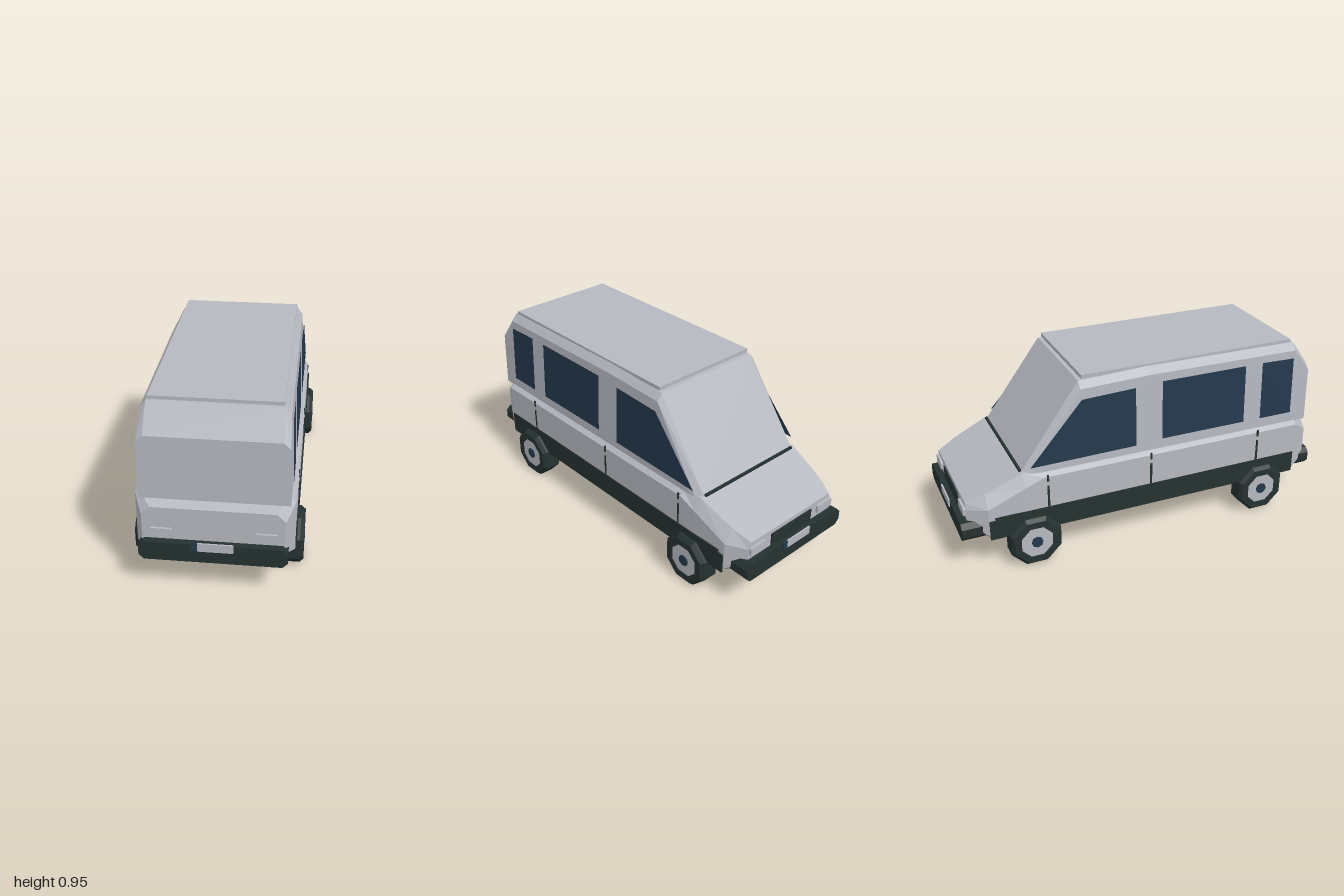
import * as THREE from 'three';
import { ConvexGeometry } from 'three/addons/geometries/ConvexGeometry.js';

const paint = (name, color) =>
  new THREE.MeshStandardMaterial({ name, color, flatShading: true, side: THREE.DoubleSide });

export function createModel() {
  const van = new THREE.Group();
  van.name = 'van';
  const grey = paint('bodyGrey', 0xb6b8c0);
  const dark = paint('darkTrim', 0x243130);
  const blue = paint('blueGlass', 0x24384c);

  const add = (name, geometry, material, parent = van) => {
    const mesh = new THREE.Mesh(geometry, material);
    mesh.name = name;
    parent.add(mesh);
    return mesh;
  };
  // box given by its two opposite corners
  const box = (name, material, [x0, y0, z0], [x1, y1, z1]) =>
    add(name, new THREE.BoxGeometry(x1 - x0, y1 - y0, z1 - z0), material)
      .position.set((x0 + x1) / 2, (y0 + y1) / 2, (z0 + z1) / 2);
  // flat four-cornered panel
  const panel = (name, material, corners) => {
    const g = new THREE.BufferGeometry();
    g.setAttribute('position', new THREE.Float32BufferAttribute(corners.flat(), 3));
    g.setIndex([0, 1, 2, 0, 2, 3]);
    g.computeVertexNormals();
    add(name, g, material);
  };

  // Lower body: chamfered cross-sections from tail to nose
  // z, top half width, top y, side half width, shoulder y, bottom y
  const sections = [
    [0.957, 0.29, 0.445, 0.33, 0.405, 0.22],
    [0.87, 0.35, 0.483, 0.372, 0.465, 0.18],
    [-0.57, 0.35, 0.487, 0.372, 0.468, 0.18],
    [-0.67, 0.335, 0.495, 0.372, 0.43, 0.18],
    [-0.86, 0.315, 0.412, 0.363, 0.345, 0.18],
    [-0.955, 0.285, 0.37, 0.3, 0.335, 0.23],
  ];
  const positions = [];
  const index = [];
  for (const [z, tx, ty, sx, sy, by] of sections) {
    const half = [[tx, ty], [sx, sy], [sx, by + 0.02], [sx - 0.025, by]];
    const loop = [...half, ...half.map(([x, y]) => [-x, y]).reverse()];
    for (const [x, y] of loop) positions.push(x, y, z);
  }
  const last = (sections.length - 1) * 8;
  for (let s = 0; s < last; s += 8) {
    for (let i = 0; i < 8; i++) {
      const a = s + i, b = s + (i + 1) % 8;
      index.push(a, b, b + 8, a, b + 8, a + 8);
    }
  }
  for (let i = 1; i < 7; i++) {
    index.push(0, i + 1, i, last, last + i, last + i + 1);
  }
  const lower = new THREE.BufferGeometry();
  lower.setAttribute('position', new THREE.Float32BufferAttribute(positions, 3));
  lower.setIndex(index);
  lower.computeVertexNormals();
  add('lowerBody', lower, grey);

  // Cabin: faceted hull, mirrored points
  const cabin = [
    [0.348, 0.48, 0.935], [0.341, 0.77, 0.935], [0.31, 0.8, 0.935],
    [0.335, 0.89, 0.845], [0.305, 0.928, 0.845],
    [0.335, 0.897, 0], [0.305, 0.934, 0],
    [0.332, 0.885, -0.362], [0.305, 0.92, -0.362],
    [0.315, 0.497, -0.67], [0.343, 0.49, -0.635], [0.348, 0.48, -0.6],
  ].flatMap(([x, y, z]) => [new THREE.Vector3(x, y, z), new THREE.Vector3(-x, y, z)]);
  add('cabin', new ConvexGeometry(cabin), grey);
  box('roofPanel', grey, [-0.303, 0.925, -0.345], [0.303, 0.945, 0.83]);

  // Windscreen, tailgate window and the seal below the windscreen
  panel('windscreen', grey, [
    [-0.27, 0.887, -0.39], [0.27, 0.887, -0.39], [0.285, 0.513, -0.664], [-0.285, 0.513, -0.664]]);
  panel('rearWindow', grey, [
    [-0.26, 0.82, 0.926], [0.26, 0.82, 0.926], [0.25, 0.923, 0.854], [-0.25, 0.923, 0.854]]);
  box('windscreenSeal', dark, [-0.31, 0.493, -0.682], [0.31, 0.505, -0.67]);

  // Side windows as [z, y] corners, leaning in with the wall
  const windows = {
    rearSideWindow: [[0.835, 0.54], [0.645, 0.54], [0.645, 0.855], [0.835, 0.85]],
    middleSideWindow: [[0.545, 0.54], [0.07, 0.54], [0.07, 0.855], [0.545, 0.855]],
    frontSideWindow: [[-0.075, 0.53], [-0.636, 0.525], [-0.358, 0.835], [-0.075, 0.845]],
  };
  for (const side of [1, -1]) {
    for (const [name, corners] of Object.entries(windows)) {
      panel(name, blue, corners.map(([z, y]) => [side * (0.355 - 0.037 * (y - 0.52)), y, z]));
    }
    // Sill strip, stepped at the nose
    const x0 = side > 0 ? 0.369 : -0.377, x1 = x0 + 0.008;
    box('sill', dark, [x0, 0.182, -0.83], [x1, 0.3, 0.863]);
    box('sillNose', dark, [x0, 0.182, -0.86], [x1, 0.285, -0.83]);
    // Door gaps
    for (const z of [0.628, 0, -0.555]) {
      box('doorGap', dark, [x0, 0.3, z - 0.005], [x1 - 0.002, 0.42, z + 0.005]);
      box('doorGap', dark, [x0, 0.445, z - 0.005], [x1 - 0.002, 0.48, z + 0.005]);
    }
  }

  // Bumper outline with clipped corners, and lamp outline with rounded corners
  const clipped = new THREE.Shape([
    [-0.32, 0.18], [0.32, 0.18], [0.344, 0.205], [0.344, 0.252], [0.32, 0.277],
    [-0.32, 0.277], [-0.344, 0.252], [-0.344, 0.205],
  ].map(([x, y]) => new THREE.Vector2(x, y)));
  const lampShape = new THREE.Shape();
  const w = 0.053, h = 0.024, r = 0.01;
  lampShape.absarc(w - r, h - r, r, 0, Math.PI / 2);
  lampShape.absarc(r - w, h - r, r, Math.PI / 2, Math.PI);
  lampShape.absarc(r - w, r - h, r, Math.PI, Math.PI * 1.5);
  lampShape.absarc(w - r, r - h, r, Math.PI * 1.5, Math.PI * 2);

  // Both ends share bumper, lamps and plate
  for (const [end, turn] of [['rear', 0], ['front', Math.PI]]) {
    const group = new THREE.Group();
    group.name = end + 'End';
    group.rotation.y = turn;
    van.add(group);
    add(end + 'Bumper', new THREE.ExtrudeGeometry(clipped, { depth: 0.12, bevelEnabled: false }), dark, group)
      .position.z = 0.872;
    for (const x of [-0.243, 0.243]) {
      add(end + 'Lamp', new THREE.ExtrudeGeometry(lampShape, { depth: 0.025, bevelEnabled: false, curveSegments: 3 }), grey, group)
        .position.set(x, turn ? 0.322 : 0.314, 0.943);
    }
    add(end + 'Plate', new THREE.BoxGeometry(0.165, 0.043, 0.008), grey, group).position.set(0.0135, 0.267, 0.995);
    add(end + 'PlateBand', new THREE.BoxGeometry(0.028, 0.043, 0.008), blue, group).position.set(-0.083, 0.267, 0.995);
  }
  box('grille', dark, [-0.145, 0.275, -0.962], [0.145, 0.347, -0.95]);

  // Wheels: eight-sided tyre ring, hub disc and blue cap
  const tyre = new THREE.LatheGeometry([
    [0.088, -0.057], [0.125, -0.057], [0.142, -0.038], [0.142, 0.038],
    [0.125, 0.057], [0.088, 0.057], [0.088, -0.057],
  ].map(([x, y]) => new THREE.Vector2(x, y)), 8, Math.PI / 8);
  const hub = new THREE.CylinderGeometry(0.09, 0.09, 0.012, 8, 1, false, Math.PI / 8);
  const cap = new THREE.CylinderGeometry(0.03, 0.03, 0.012, 8);
  for (const side of [1, -1]) {
    for (const [name, z] of [['rearWheel', 0.655], ['frontWheel', -0.635]]) {
      const wheel = new THREE.Group();
      wheel.name = name;
      wheel.position.set(side * 0.353, 0.131, z);
      wheel.rotation.z = -side * Math.PI / 2;
      van.add(wheel);
      add('tyre', tyre, dark, wheel);
      add('hub', hub, grey, wheel).position.y = 0.046;
      add('hubCap', cap, blue, wheel).position.y = 0.053;
    }
  }
  return van;
}
